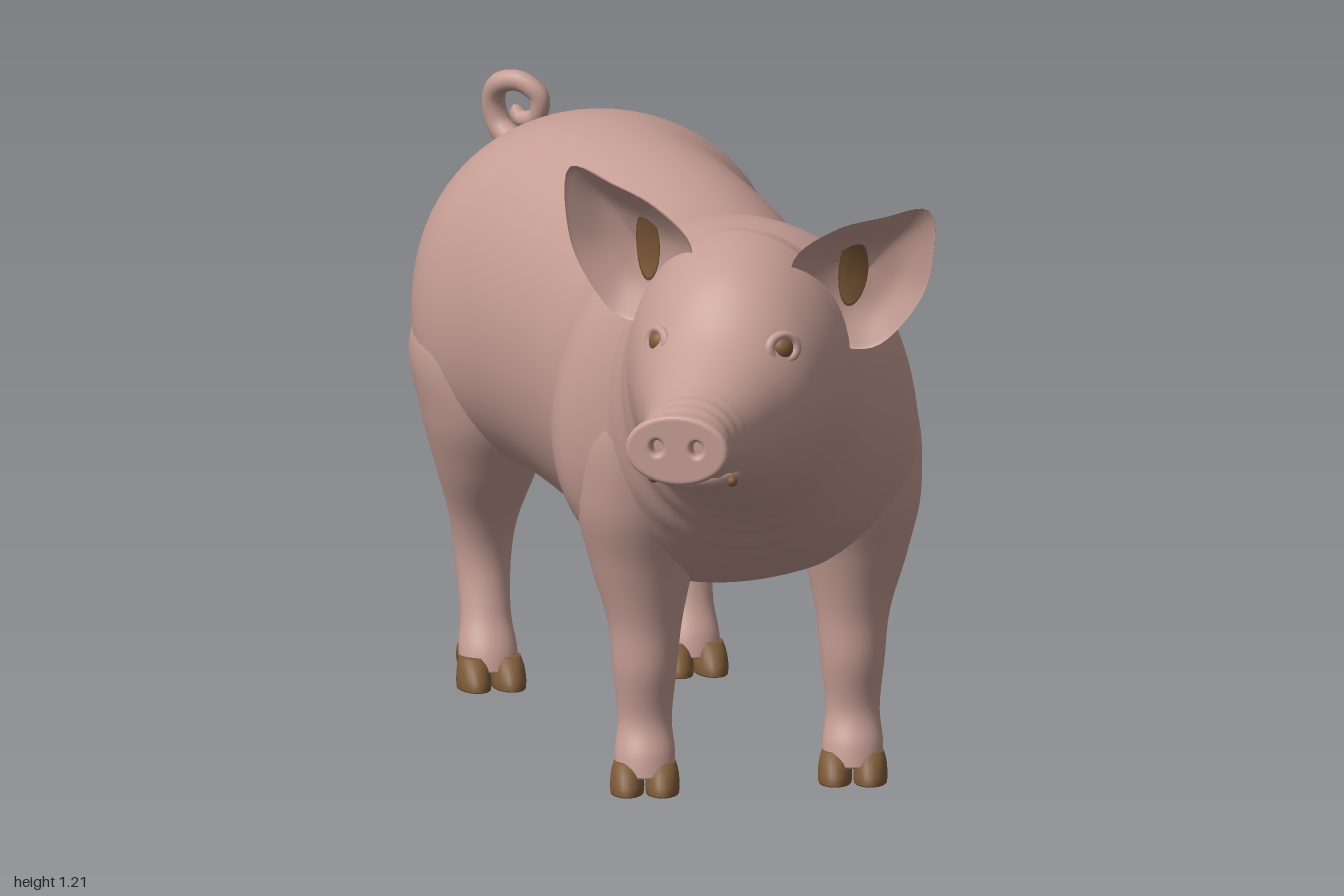
import * as THREE from 'three';

const mat = (name, color) => Object.assign(new THREE.MeshStandardMaterial({ color }), { name });

// Catmull-Rom blend of key rows at t in 0..1
function blend(keys, t) {
  const n = keys.length - 1, s = Math.min(t * n, n - 1e-6), i = Math.floor(s), u = s - i;
  const k = (j) => keys[Math.max(0, Math.min(n, j))];
  return keys[i].map((_, c) => {
    const [a, b, d, e] = [k(i - 1)[c], k(i)[c], k(i + 1)[c], k(i + 2)[c]];
    return b + 0.5 * u * (d - a + u * (2 * a - 5 * b + 4 * d - e + u * (3 * (b - d) + e - a)));
  });
}

// Closed smooth skin through blended cross-sections; place(row, angle) gives a point
function loft(keys, steps, sides, place) {
  const pos = [], idx = [];
  for (let i = 0; i <= steps; i++) {
    const row = blend(keys, i / steps);
    for (let j = 0; j < sides; j++) pos.push(...place(row, (j / sides) * Math.PI * 2));
  }
  const at = (i, j) => i * sides + (j % sides);
  for (let i = 0; i < steps; i++) for (let j = 0; j < sides; j++) {
    const a = at(i, j), b = at(i, j + 1), c = at(i + 1, j), d = at(i + 1, j + 1);
    idx.push(a, b, c, b, d, c);
  }
  for (const [row, front] of [[0, false], [steps, true]]) {
    const m = [0, 0, 0], centre = pos.length / 3;
    for (let j = 0; j < sides; j++) for (let c = 0; c < 3; c++) m[c] += pos[at(row, j) * 3 + c] / sides;
    pos.push(...m);
    for (let j = 0; j < sides; j++) {
      if (front) idx.push(centre, at(row, j), at(row, j + 1));
      else idx.push(centre, at(row, j + 1), at(row, j));
    }
  }
  const g = new THREE.BufferGeometry();
  g.setAttribute('position', new THREE.Float32BufferAttribute(pos, 3));
  g.setIndex(idx);
  g.computeVertexNormals();
  return g;
}

export function createModel() {
  const root = new THREE.Group();
  root.name = 'pig';
  const skin = mat('pink skin', 0xc59d94), horn = mat('brown horn', 0x7d5a38);
  const add = (parent, name, geo, material, p = [0, 0, 0]) => {
    const m = new THREE.Mesh(geo, material);
    m.name = name;
    m.position.set(...p);
    parent.add(m);
    return m;
  };

  // Leg sections: height, forward offset, outward offset, half length, half width
  const frontKeys = [
    [0.03, 0.03, 0, 0.046, 0.053], [0.07, 0.015, 0, 0.052, 0.055], [0.13, 0, 0, 0.046, 0.049],
    [0.22, 0, 0, 0.06, 0.058], [0.31, -0.005, 0, 0.07, 0.068], [0.42, -0.015, 0.005, 0.11, 0.096],
    [0.54, -0.01, 0.005, 0.15, 0.12], [0.7, 0, -0.005, 0.165, 0.115], [0.84, 0.01, -0.07, 0.13, 0.085], [0.95, 0.01, -0.13, 0.05, 0.04],
  ];
  const rearKeys = [
    [0.03, 0.02, 0, 0.046, 0.053], [0.07, 0.005, 0, 0.05, 0.053], [0.13, -0.018, 0, 0.044, 0.046],
    [0.22, -0.045, 0, 0.054, 0.051], [0.3, -0.035, 0, 0.068, 0.062], [0.4, -0.005, 0, 0.108, 0.092],
    [0.51, 0.01, 0, 0.155, 0.122], [0.64, 0, 0.005, 0.175, 0.134], [0.78, 0, -0.035, 0.16, 0.105], [0.92, 0, -0.1, 0.07, 0.05],
  ];
  const legs = [
    ['leftFrontLeg', 1, 0.355, 0.025, 14, frontKeys], ['rightFrontLeg', -1, 0.012, 0.205, 14, frontKeys],
    ['leftRearLeg', 1, -0.155, -0.815, 24, rearKeys], ['rightRearLeg', -1, -0.48, -0.605, 24, rearKeys],
  ];

  // Trunk, neck and head: x, z, yaw in degrees, half width, top, bottom
  const spine = [
    [-0.415, -0.972, 24, 0.02, 0.74, 0.68], [-0.407, -0.955, 24, 0.12, 0.85, 0.56],
    [-0.385, -0.9, 24, 0.22, 0.95, 0.5], [-0.346, -0.8, 24, 0.295, 1.02, 0.465],
    [-0.287, -0.67, 24, 0.328, 1.055, 0.43], [-0.215, -0.53, 24, 0.3, 1.06, 0.385],
    [-0.07, -0.31, 24, 0.288, 1.04, 0.35], [0.06, -0.05, 24, 0.283, 1.02, 0.355],
    [0.15, 0.11, 23, 0.312, 1.045, 0.375], [0.2, 0.22, 15, 0.29, 1.05, 0.425],
    [0.23, 0.34, 6, 0.235, 1.055, 0.49], [0.252, 0.44, 0, 0.216, 1.095, 0.55],
    [0.262, 0.54, 0, 0.2, 1.09, 0.595], [0.267, 0.64, 0, 0.17, 1.05, 0.625],
    [0.267, 0.74, 0, 0.128, 0.95, 0.665], [0.265, 0.84, 0, 0.098, 0.89, 0.695],
    [0.265, 0.92, 0, 0.085, 0.87, 0.725], [0.265, 0.972, 0, 0.083, 0.86, 0.74],
  ];
  const bump = (z, a, b) => (z > a && z < b ? Math.sin(((z - a) / (b - a)) * Math.PI) : 0);
  add(root, 'body and head', loft(spine, 170, 64, ([x, z, yaw, w, top, low], a) => {
    const y = THREE.MathUtils.degToRad(yaw);
    // neck folds and snout wrinkles
    const fold = 1 + 0.01 * bump(z, 0.26, 0.52) * Math.sin(z * 95) + 0.022 * bump(z, 0.84, 0.98) * Math.sin(z * 170);
    const s = Math.cos(a) * w * fold, h = Math.sin(a) * ((top - low) / 2) * fold;
    const at = (k) => [x + k * s * Math.cos(y), (top + low) / 2 + k * h, z - k * s * Math.sin(y)];
    // flesh swells where the legs join
    const [px, py, pz] = at(1);
    let swell = 0;
    for (const [, , lx, lz] of legs) {
      const d2 = (px - lx) ** 2 + (py - 0.56) ** 2 + (pz - lz) ** 2;
      swell += 0.055 * Math.exp(-d2 / 0.028);
    }
    return at(1 + swell / Math.hypot(s, h));
  }), skin);

  // Snout disc with two nostrils
  const disc = new THREE.Shape().absellipse(0, 0, 0.087, 0.056, 0, Math.PI * 2);
  for (const s of [-1, 1]) disc.holes.push(new THREE.Path().absellipse(s * 0.037, 0.004, 0.02, 0.022, 0, Math.PI * 2, true));
  add(root, 'snout disc', new THREE.ExtrudeGeometry(disc, {
    depth: 0.016, bevelThickness: 0.009, bevelSize: 0.009, bevelSegments: 4, curveSegments: 28,
  }), skin, [0.265, 0.8, 0.974]);

  // Lower jaw
  add(root, 'lower jaw', new THREE.SphereGeometry(1, 28, 18), skin, [0.265, 0.729, 0.825]).scale.set(0.08, 0.031, 0.105);

  // Eyes, lids and small tusks
  for (const s of [-1, 1]) {
    const eye = new THREE.Group();
    eye.name = 'eye';
    eye.position.set(0.27 + s * 0.111, 0.93, 0.678);
    eye.rotation.set(-0.15, s * 0.8, 0, 'YXZ');
    root.add(eye);
    add(eye, 'eyeball', new THREE.SphereGeometry(0.023, 20, 14), horn);
    add(eye, 'eyelid', new THREE.TorusGeometry(0.026, 0.009, 10, 28), skin, [0, 0, 0.008]).scale.set(1.1, 0.9, 1);
    add(root, 'tusk', new THREE.SphereGeometry(0.01, 12, 8), horn, [0.265 + s * 0.073, 0.722, 0.872]);
  }

  // Cupped ears, drawn for the right side and mirrored
  const rim = new THREE.CatmullRomCurve3([
    [-0.2, 0.19], [-0.12, 0.165], [-0.04, 0.13], [0.03, 0.06], [0.02, -0.03],
    [-0.04, -0.09], [-0.12, -0.09], [-0.18, -0.02], [-0.21, 0.06],
  ].map(([x, y]) => new THREE.Vector3(x, y, 0)), true);
  const cup = [[0.02, -0.078], [0.5, -0.068], [0.9, -0.03], [1, 0], [0.93, -0.006], [0.5, -0.041], [0.02, -0.055]];
  const lean = (x, y) => 0.22 * y + 0.25 * x;
  for (const [s, x, y, tilt] of [[1, 0.15, 1.02, 0], [-1, 0.395, 1.0, -0.13]]) {
    const ear = new THREE.Group();
    ear.name = s > 0 ? 'rightEar' : 'leftEar';
    ear.position.set(x, y, 0.525);
    ear.rotation.z = tilt;
    root.add(ear);
    add(ear, 'ear flap', loft(cup, 30, 48, ([k, z], a) => {
      const t = a / (Math.PI * 2), p = rim.getPoint(s > 0 ? (1 - t) % 1 : t);
      const px = -0.09 + (p.x + 0.09) * k, py = 0.05 + (p.y - 0.05) * k;
      return [s * px, py, lean(px, py) + z];
    }), skin);
    // brown hollow lying on the inner face
    add(ear, 'ear hollow', loft([[1, 0], [0.5, 0.004], [0.02, 0.005]], 8, 24, ([k, z], a) => {
      const px = -0.066 + 0.025 * k * Math.cos(a) * s, py = 0.045 + 0.068 * k * Math.sin(a);
      const r = Math.hypot((px + 0.09) / 0.11, (py - 0.05) / 0.12);
      return [s * px, py, lean(px, py) - 0.055 * (1 - r * r) + 0.004 + z];
    }), horn);
  }

  const toeKeys = [[0, 0.043, 0.056, 0.03], [0.015, 0.042, 0.053, 0.031], [0.038, 0.036, 0.043, 0.029], [0.056, 0.028, 0.03, 0.024]];
  for (const [name, side, x, z, yaw, keys] of legs) {
    const leg = new THREE.Group();
    leg.name = name;
    leg.position.set(x, 0, z);
    leg.rotation.y = THREE.MathUtils.degToRad(yaw);
    root.add(leg);
    add(leg, 'leg', loft(keys, 60, 36, ([y, f, out, a, b], t) =>
      [side * out + b * Math.sin(t), y, f + a * Math.cos(t)]), skin);
    for (const s of [-1, 1]) {
      // cloven toe and dewclaw
      add(leg, 'hoof', loft(toeKeys, 12, 24, ([y, f, a, b], t) =>
        [s * 0.032 + b * Math.sin(t), y, f + a * Math.cos(t)]), horn);
      const claw = add(leg, 'dewclaw', new THREE.SphereGeometry(1, 14, 10), horn, [s * 0.038, 0.05, -0.034]);
      claw.scale.set(0.013, 0.031, 0.014);
      claw.rotation.x = 0.35;
    }
  }

  // Curled tail, tapering to its tip
  const curl = new THREE.CatmullRomCurve3([
    [-0.45, 0.87, -0.86], [-0.495, 0.92, -0.91], [-0.54, 0.96, -0.94], [-0.55, 1.005, -0.94], [-0.535, 1.038, -0.925],
    [-0.495, 1.046, -0.915], [-0.458, 1.02, -0.912], [-0.464, 0.982, -0.92], [-0.497, 0.973, -0.937], [-0.515, 0.995, -0.95],
  ].map((p) => new THREE.Vector3(...p)));
  const tail = new THREE.TubeGeometry(curl, 80, 0.027, 14);
  const p = tail.attributes.position, v = new THREE.Vector3();
  for (let i = 0; i < p.count; i++) {
    const t = Math.floor(i / 15) / 80, c = curl.getPointAt(t);
    v.fromBufferAttribute(p, i).sub(c).multiplyScalar((1 - 0.45 * t) * (t > 0.97 ? Math.sqrt(Math.max(0, (1 - t) / 0.03)) : 1)).add(c);
    p.setXYZ(i, v.x, v.y, v.z);
  }
  add(root, 'tail', tail, skin);
  return root;
}
